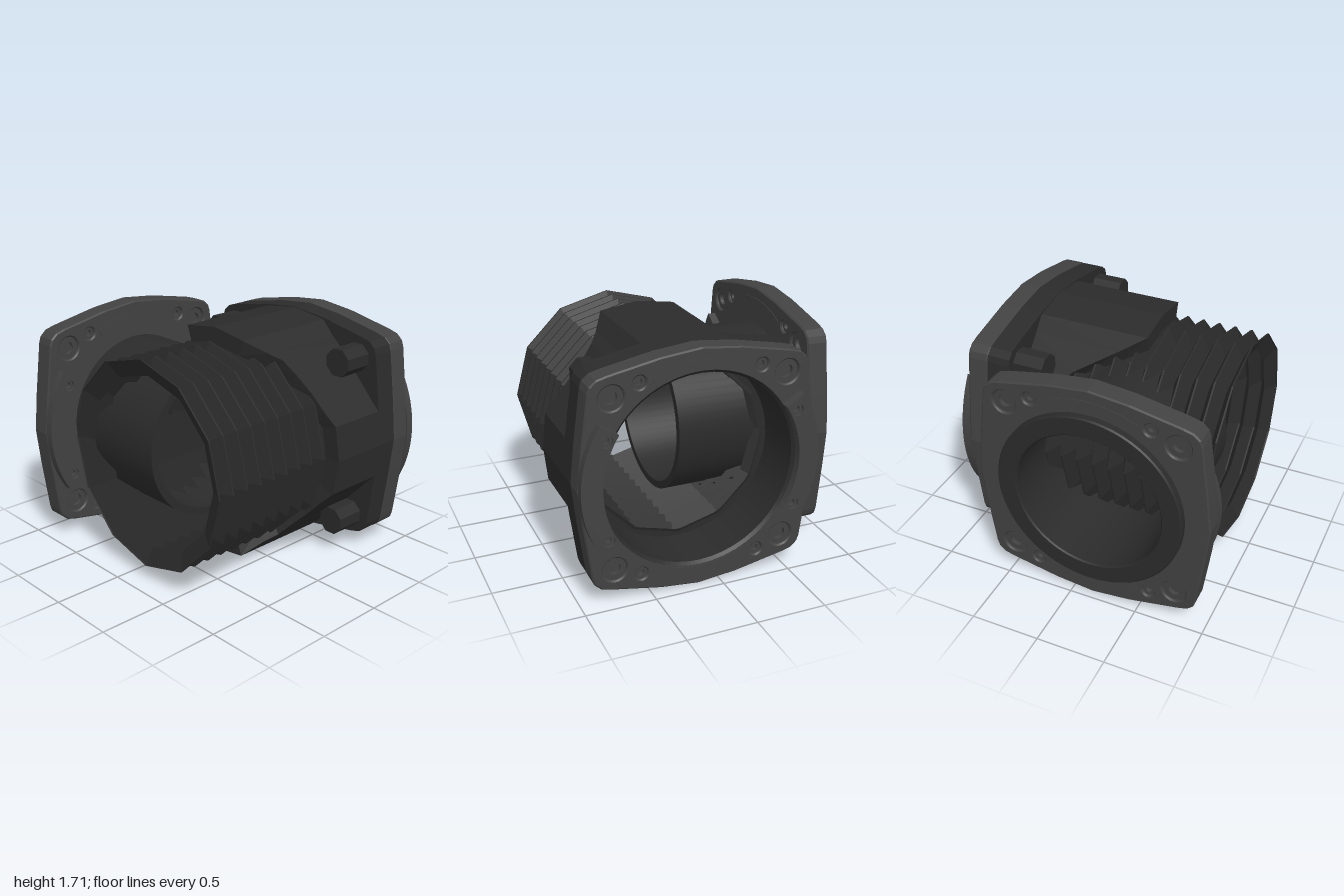
import * as THREE from 'three';

const CY = 0.862, CZ = 0.15, CX = -0.15; // barrel axis height and depth, side tube offset
const paint = (color, flatShading = false) =>
  new THREE.MeshStandardMaterial({ color, flatShading, side: THREE.DoubleSide });
const bodyMat = paint(0x2b2b2b, true);
const tubeMat = paint(0x2b2b2b);
const flangeMat = paint(0x424242, true);
const boltMat = paint(0x424242);

function add(parent, name, geometry, material, x = 0, y = 0, z = 0) {
  const m = new THREE.Mesh(geometry, material);
  m.name = name;
  m.position.set(x, y, z);
  parent.add(m);
  return m;
}

// Surface over a lattice of nu x nv quads
function lattice(nu, nv, point) {
  const pos = [], idx = [], w = nv + 1;
  for (let i = 0; i <= nu; i++) for (let j = 0; j <= nv; j++) pos.push(...point(i, j));
  for (let i = 0; i < nu; i++) for (let j = 0; j < nv; j++) {
    const a = i * w + j, b = a + 1, c = a + w, d = c + 1;
    idx.push(a, b, c, b, d, c);
  }
  const g = new THREE.BufferGeometry();
  g.setAttribute('position', new THREE.Float32BufferAttribute(pos, 3));
  g.setIndex(idx);
  g.computeVertexNormals();
  return g;
}

// Lathe turned so that its axis runs along z; points are [radius, z]
function turned(points, segments) {
  // repeat inner corners so every edge stays crisp
  const parts = points.slice(1).flatMap((q, i) => [points[i], q]);
  return new THREE.LatheGeometry(parts.map(([r, z]) => new THREE.Vector2(r, z)), segments).rotateX(Math.PI / 2);
}

const circle = (x, y, r) => {
  const path = new THREE.Path();
  path.absarc(x, y, r, 0, Math.PI * 2, true);
  return path;
};

// Bulged square outline, mirrored from one quadrant
function outline(s = 1) {
  const q = [[0.85, 0], [0.82, 0.28], [0.77, 0.65], [0.755, 0.695], [0.71, 0.735],
    [0.64, 0.755], [0.28, 0.825], [0, 0.855]];
  const pts = [];
  for (let k = 0; k < 4; k++) {
    const sx = k === 0 || k === 3 ? 1 : -1, sy = k < 2 ? 1 : -1;
    const run = k % 2 ? [...q].reverse() : q;
    run.slice(0, -1).forEach(([x, y]) => pts.push(new THREE.Vector2(x * sx * s, y * sy * s)));
  }
  return new THREE.Shape(pts);
}

function arcBand(r0, r1, mid, half) {
  const s = new THREE.Shape();
  s.absarc(0, 0, r1, mid - half, mid + half, false);
  s.absarc(0, 0, r0, mid + half, mid - half, true);
  s.closePath();
  return s;
}

// Bolt with a recessed ring and a deeper centre, the same at both ends
const bolt = (r, z0, z1) => turned([[0, z0 + 0.05], [r * 0.55, z0 + 0.05], [r * 0.55, z0 + 0.02], [r, z0 + 0.02],
  [r, z1 - 0.02], [r * 0.55, z1 - 0.02], [r * 0.55, z1 - 0.05], [0, z1 - 0.05]], 20);

// Flange plate: outline in xy, thickness 0..0.155 along z, face towards +z
function makeFlange(name, bore) {
  const g = new THREE.Group();
  g.name = name;
  const T = 0.155, B = 0.01, signs = [-1, 1];
  const plate = outline();
  plate.holes.push(circle(0, 0, bore));
  for (const sx of signs) for (const sy of signs) {
    plate.holes.push(circle(sx * 0.613, sy * 0.605, 0.085), circle(sx * 0.425, sy * 0.68, 0.045));
    add(g, 'cornerBolt', bolt(0.085, 0, T), boltMat, sx * 0.613, sy * 0.605);
    add(g, 'smallBolt', bolt(0.045, 0, T), boltMat, sx * 0.425, sy * 0.68);
  }
  add(g, 'flangePlate', new THREE.ExtrudeGeometry(plate, { depth: T - 2 * B, bevelThickness: B, bevelSize: B,
    bevelOffset: -B, bevelSegments: 1, curveSegments: 40 }), flangeMat, 0, 0, B);
  for (const s of signs) {
    // raised side pads carrying two small bolts each
    const pad = arcBand(0.7, 0.848, s > 0 ? 0 : Math.PI, 0.575);
    for (const sy of signs) {
      pad.holes.push(circle(s * 0.67, sy * 0.348, 0.042));
      add(g, 'padBolt', bolt(0.043, T - 0.06, T + 0.06), boltMat, s * 0.67, sy * 0.348);
    }
    add(g, 'sidePad', new THREE.ExtrudeGeometry(pad, { depth: 0.06, bevelEnabled: false, curveSegments: 16 }),
      flangeMat, 0, 0, T);
    // thin gasket bands at top and bottom, on both faces
    add(g, 'gasketBand', new THREE.ExtrudeGeometry(arcBand(0.71, 0.775, s * Math.PI / 2, 0.46),
      { depth: T + 0.008, bevelEnabled: false, curveSegments: 16 }), flangeMat, 0, 0, -0.004);
  }
  return g;
}

// Twelve-sided finned barrel along x
function makeBarrel() {
  const step = 0.1222, fins = 12, profile = [];
  for (let k = 0; k < fins; k++) {
    const x = -0.855 + k * step;
    profile.push([x - 0.006, 0.757], [x + 0.006, 0.757], [x + step / 2, 0.63]);
  }
  return lattice(profile.length - 1, 12, (i, j) => {
    const [x, r] = profile[i], a = j * Math.PI / 6;
    return [x, CY + r * Math.sin(a), CZ + r * Math.cos(a)];
  });
}

// Housing shell: [z, y, x where the shell begins] over the top, mirrored below
function makeHousing() {
  const half = [[0.85, 0, 0.17], [0.82, 0.25, 0.155], [0.74, 0.33, 0.135], [0.63, 0.45, 0.115], [0.52, 0.56, 0.08],
    [0.43, 0.66, 0.03], [0.37, 0.71, -0.05], [0.28, 0.81, -0.2], [0, 0.85, -0.2], [-0.28, 0.81, -0.2],
    [-0.37, 0.71, -0.03], [-0.52, 0.56, 0.25], [-0.63, 0.45, 0.38], [-0.74, 0.33, 0.44], [-0.82, 0.25, 0.5],
    [-0.85, 0, 0.52]];
  const ring = [...half, ...half.slice(0, -1).reverse().map(([z, y, x]) => [z, -y, x])];
  return lattice(2, ring.length - 1, (i, j) => {
    const [z, y, x] = ring[j], s = i === 0 ? 0.86 : 1;
    return [i === 2 ? 0.62 : x, CY + y * s, CZ + z * s];
  });
}

export function createModel() {
  const model = new THREE.Group();
  model.name = 'finnedCylinder';

  add(model, 'finnedBarrel', makeBarrel(), bodyMat);
  add(model, 'housingShell', makeHousing(), bodyMat);

  // Parts built along z and turned to face +x
  const head = new THREE.Group();
  head.name = 'headEnd';
  head.rotation.y = Math.PI / 2;
  head.position.set(0, CY, CZ);
  model.add(head);
  const block = outline(0.998);
  block.holes.push(circle(0, 0, 0.69));
  add(head, 'headBlock', new THREE.ExtrudeGeometry(block, { depth: 0.165, bevelEnabled: false, curveSegments: 40 }),
    bodyMat, 0, 0, 0.61);
  add(head, 'boreLiner', turned([[0.63, 0.54], [0.68, 0.54], [0.68, 0.91], [0.70, 0.93]], 48), tubeMat);
  for (const sx of [-1, 1]) for (const sy of [-1, 1])
    add(head, 'boltBoss', new THREE.CylinderGeometry(0.105, 0.105, 0.23, 8).rotateY(Math.PI / 8).rotateX(Math.PI / 2),
      bodyMat, sx * 0.61, sy * 0.605, 0.505);
  const headFlange = makeFlange('headFlange', 0.69);
  headFlange.position.z = 0.773;
  head.add(headFlange);

  // Side tube with its end collar, and the rear flange around it
  add(model, 'sideTube', turned([[0.53, 0.09], [0.585, 0.09], [0.585, -0.93], [0.675, -0.93], [0.675, -0.99],
    [0.665, -1], [0.54, -1], [0.53, -0.99], [0.53, 0.09]], 64), tubeMat, CX, CY, 0);
  const rearFlange = makeFlange('rearFlange', 0.57);
  rearFlange.position.set(CX, CY, -0.945);
  model.add(rearFlange);
  return model;
}
